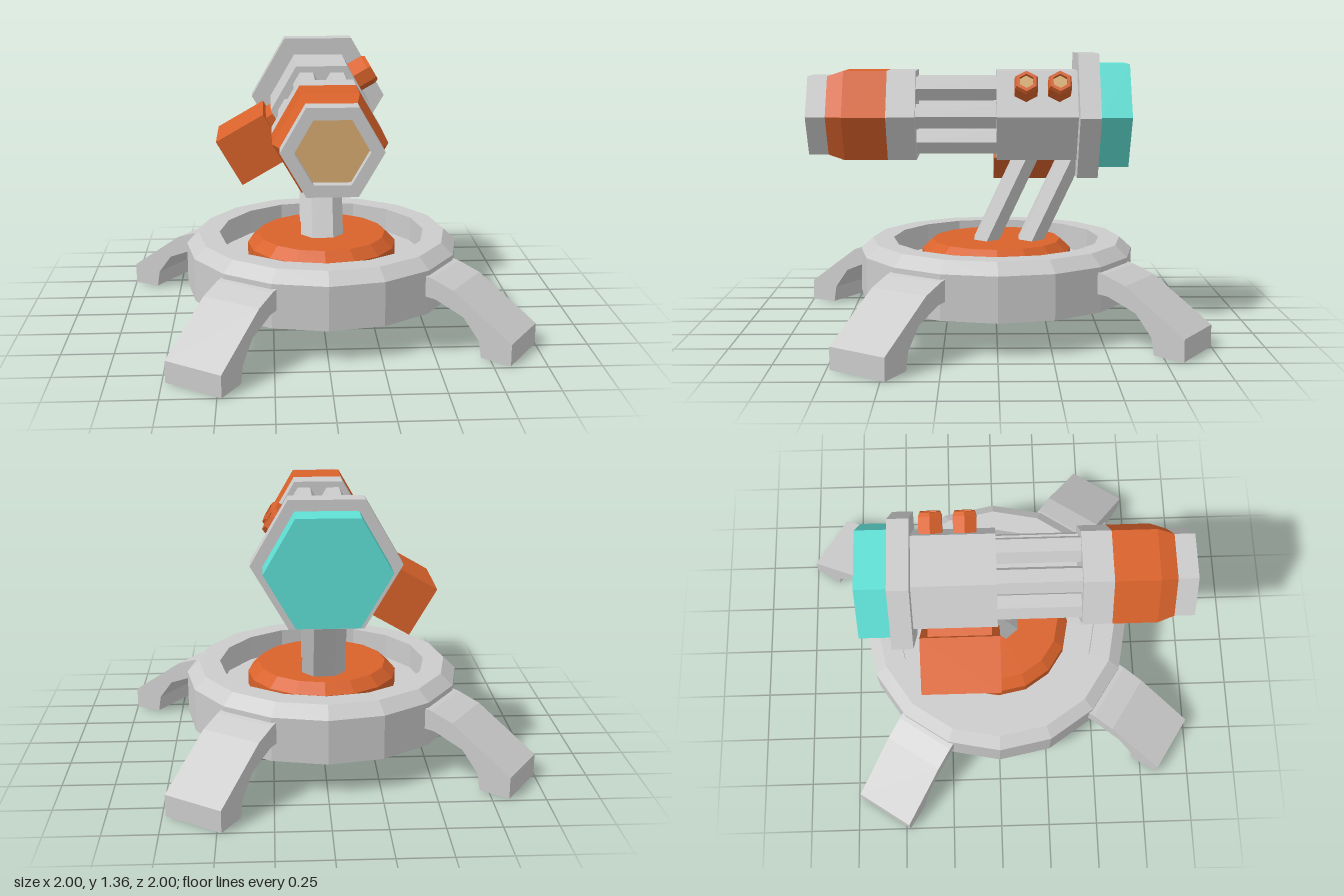
import * as THREE from 'three';

const mat = (color) => new THREE.MeshStandardMaterial({ color, flatShading: true });
const GREY = mat(0xcccccc), ORANGE = mat(0xd9622b), TEAL = mat(0x5fe0d5), TAN = mat(0xd6ab70);
const AXIS_Y = 1.055; // height of the barrel axis
const DEG = Math.PI / 180;

export function createModel() {
  const model = new THREE.Group();

  const add = (name, geometry, material, parent = model) => {
    const mesh = new THREE.Mesh(geometry, material);
    mesh.name = name;
    parent.add(mesh);
    return mesh;
  };

  // Faceted turned solid; profile is [radius, height] from bottom to top
  const turned = (profile, sides, phase = 0) =>
    new THREE.LatheGeometry(profile.map(([r, y]) => new THREE.Vector2(r, y)), sides).rotateY(phase);

  // Hexagonal section along z with its corners at left and right
  const hexAlongZ = (profile) => turned(profile, 6, 30 * DEG).rotateX(90 * DEG);
  const hexBlock = (r, z0, z1) => hexAlongZ([[0, z0], [r, z0], [r, z1], [0, z1]]);

  // Base dish and turntable
  add('base', turned([[0, 0.165], [0.68, 0.165], [0.68, 0.38], [0.62, 0.435],
    [0.515, 0.435], [0.515, 0.31], [0, 0.31]], 16), GREY);
  add('turntable', turned([[0.373, 0.31], [0.373, 0.38], [0.32, 0.43], [0, 0.43]], 16), ORANGE);

  // Four splayed feet
  const legShape = new THREE.Shape([
    [0.6, 0.37], [0.69, 0.35], [0.8, 0.31], [1.098, 0.105], [1.098, 0],
    [0.95, 0.008], [0.935, 0.09], [0.855, 0.19], [0.71, 0.25], [0.6, 0.26],
  ].map(([x, y]) => new THREE.Vector2(x, y)));
  const legGeometry = new THREE.ExtrudeGeometry(legShape, { depth: 0.306, bevelEnabled: false })
    .translate(0, 0, -0.153);
  for (let i = 0; i < 4; i++) {
    add('leg', legGeometry, GREY).rotation.y = -33.6 * DEG + i * 90 * DEG;
  }

  // Two leaning struts: flattened hexagons sheared backwards
  for (const z of [0.053, -0.17]) {
    const strut = new THREE.CylinderGeometry(0.105, 0.105, 0.5, 6).rotateY(30 * DEG)
      .scale(1, 1, 0.69).translate(0, 0.25, 0);
    const shear = new THREE.Matrix4().set(1, 0, 0, 0, 0, 1, 0, 0.42, 0, -0.47, 1, z, 0, 0, 0, 1);
    add('strut', strut.applyMatrix4(shear), GREY);
  }

  // Gun assembly, centred on the barrel axis
  const gun = new THREE.Group();
  gun.name = 'gun';
  gun.position.y = AXIS_Y;
  model.add(gun);
  add('muzzle', hexAlongZ([[0.22, 0.82], [0.22, 0.915], [0.16, 0.915], [0.16, 0.865]]), GREY, gun);
  add('muzzleCore', hexBlock(0.16, 0.82, 0.866), TAN, gun);
  add('muzzleBand', hexAlongZ([[0.25, 0.53], [0.25, 0.74], [0.22, 0.82], [0.15, 0.82]]), ORANGE, gun);
  add('barrelCollar', hexBlock(0.25, 0.39, 0.53), GREY, gun);
  add('receiver', hexBlock(0.25, -0.39, 0), GREY, gun);
  add('rearFlange', hexBlock(0.347, -0.49, -0.39), GREY, gun);
  add('rearCap', hexBlock(0.288, -0.642, -0.49), TEAL, gun);

  // Ring of six barrel rods
  for (let i = 0; i < 6; i++) {
    const a = i * 60 * DEG;
    add('barrelRod', hexBlock(0.065, -0.01, 0.4), GREY, gun)
      .position.set(0.15 * Math.cos(a), 0.15 * Math.sin(a), 0);
  }

  // Two short ports on the upper left face
  for (const z of [-0.14, -0.3]) {
    const port = new THREE.Group();
    port.name = 'port';
    port.rotation.z = -60 * DEG;
    port.position.set(-0.01, 0.017, z);
    gun.add(port);
    add('portTube', turned([[0.063, 0.19], [0.063, 0.295], [0.054, 0.315], [0.037, 0.315],
      [0.037, 0.295]], 6, 30 * DEG), ORANGE, port);
    add('portCore', turned([[0.037, 0.29], [0.037, 0.297], [0, 0.297]], 6, 30 * DEG), TAN, port);
  }

  // Magazine box on the lower right face
  const magazine = new THREE.Group();
  magazine.name = 'magazine';
  magazine.rotation.z = 210 * DEG;
  magazine.position.z = -0.177;
  gun.add(magazine);
  add('magazineBox', new THREE.BoxGeometry(0.27, 0.255, 0.375), ORANGE, magazine).position.x = 0.395;
  add('magazineNeck', new THREE.BoxGeometry(0.1, 0.2, 0.3), ORANGE, magazine).position.x = 0.23;

  return model;
}
